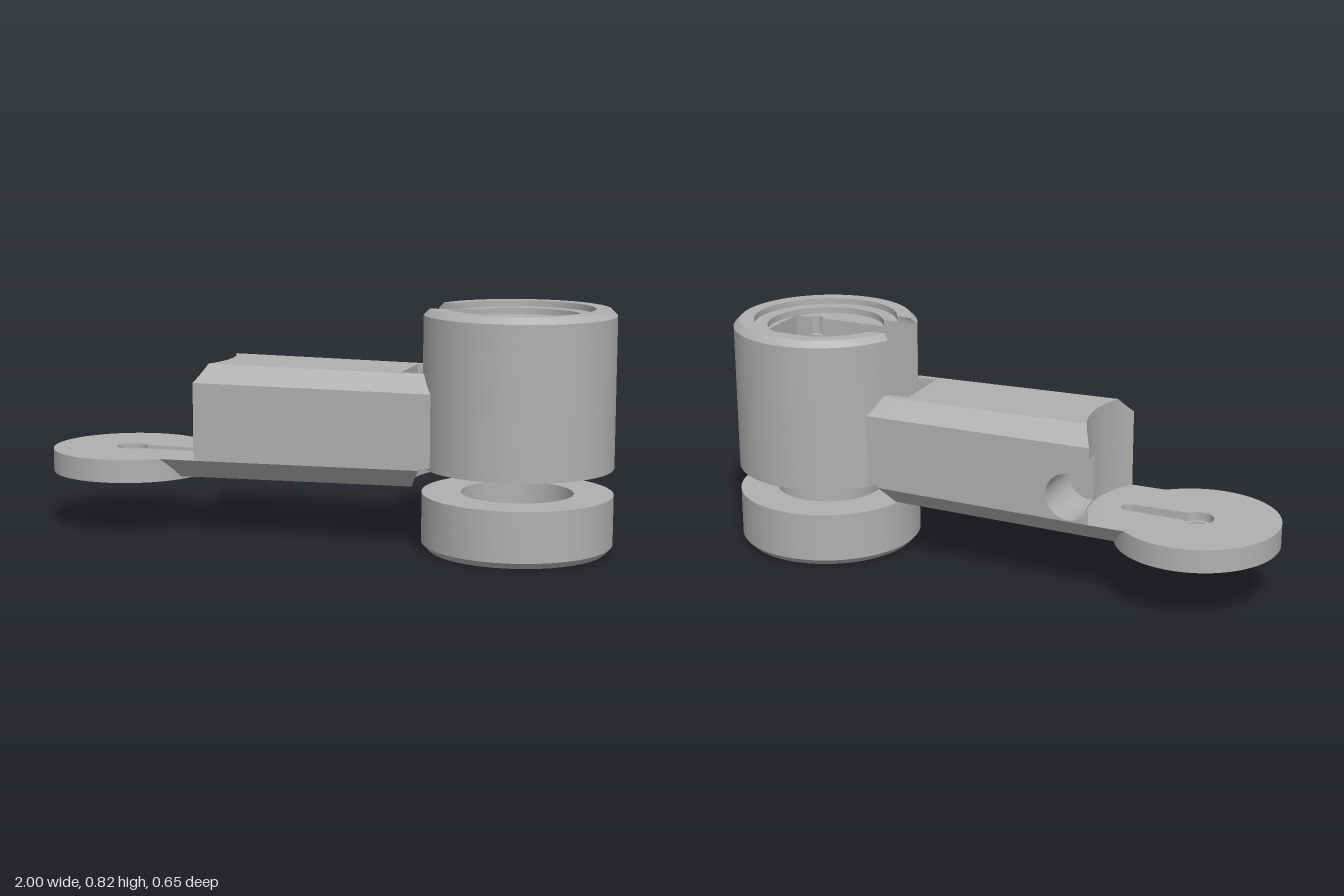
import * as THREE from 'three';
import { toCreasedNormals } from 'three/addons/utils/BufferGeometryUtils.js';

const HUB_X = 0.677, DISK_X = -0.72, HUB_R = 0.323;

export function createModel() {
  const model = new THREE.Group();
  const grey = new THREE.MeshStandardMaterial({ color: 0xb0b0b0 });
  grey.name = 'plain grey';

  function add(name, geometry, parent, x = 0) {
    const mesh = new THREE.Mesh(toCreasedNormals(geometry, 0.45), grey);
    mesh.name = name;
    mesh.position.x = x;
    parent.add(mesh);
  }
  function group(name) {
    const g = new THREE.Group();
    g.name = name;
    model.add(g);
    return g;
  }
  // Flat outline (x, -z) raised from y0 to y1
  function layer(shape, y0, y1) {
    return new THREE.ExtrudeGeometry(shape, { depth: y1 - y0, bevelEnabled: false, curveSegments: 48 })
      .rotateX(-Math.PI / 2).translate(0, y0, 0);
  }
  function circle(x, y, r, Type = THREE.Path) {
    const p = new Type();
    p.absarc(x, y, r, 0, Math.PI * 2, false);
    return p;
  }

  // ---- Horn disk with keyhole recess ----
  const disk = group('hornDisk');
  const base = circle(0, 0, 0.28, THREE.Shape);
  base.holes.push(circle(0, 0, 0.04), circle(0.14, 0, 0.012), circle(0.21, 0, 0.012));
  add('diskBase', layer(base, 0.2, 0.25), disk, DISK_X);
  const top = circle(0, 0, 0.28, THREE.Shape);
  const keyhole = new THREE.Path();
  keyhole.absarc(0, 0, 0.055, 0.65, Math.PI * 2 - 0.65, false);
  keyhole.absarc(0.24, 0, 0.03, -Math.PI / 2, Math.PI / 2, false);
  top.holes.push(keyhole);
  add('diskTop', layer(top, 0.25, 0.28), disk, DISK_X);

  // ---- Arm: lofted across z, ends curved around the disk and the hub ----
  const arm = group('arm');
  const HALF = 0.21, FLAT = 0.145, POCKET = 0.12;
  const bevel = z => Math.max(0, (Math.abs(z) - FLAT) / (HALF - FLAT));

  function armOutline(z, notched, pocketed) {
    const yTop = 0.61 - 0.06 * bevel(z), yBottom = 0.21 + 0.069 * bevel(z);
    const xDisk = DISK_X + Math.sqrt(0.28 ** 2 - z * z) - 0.002;
    const xLeft = DISK_X + Math.sqrt(0.375 ** 2 - z * z);
    const xHub = HUB_X - Math.sqrt(0.363 ** 2 - z * z);
    const pts = [[xDisk, yBottom], [xHub, yBottom], [xHub, 0.287]];
    if (pocketed) pts.push([0.385, 0.287], [0.385, 0.5], [0.3, 0.5], [0.3, yTop]);
    else pts.push([0.44, 0.287], [0.44, yTop]);
    pts.push([xLeft, yTop]);
    if (notched) { // round cable opening in the back side
      const cx = -0.335, cy = 0.367, r = 0.082;
      const phi = Math.acos((xLeft - cx) / r);
      for (let i = 0; i <= 24; i++) {
        const a = phi * (1 - i / 12);
        pts.push([cx + r * Math.cos(a), cy + r * Math.sin(a)]);
      }
    }
    pts.push([xLeft, 0.28], [xDisk, 0.28]);
    return pts;
  }

  function armSlab(z0, z1, notched, pocketed) {
    const steps = 6, pos = [], rings = [];
    for (let s = 0; s <= steps; s++) {
      const z = z0 + (z1 - z0) * s / steps;
      rings.push(armOutline(z, notched, pocketed).map(([x, y]) => {
        const t = Math.max(0, x + 0.4); // taper toward the hub
        return [x, 0.41 + (y - 0.41) * (1 - 0.06 * t), z * (1 - 0.0875 * t)];
      }));
    }
    const tri = (a, b, c) => pos.push(...a, ...b, ...c);
    for (let s = 0; s < steps; s++) {
      const A = rings[s], B = rings[s + 1];
      A.forEach((p, i) => {
        const j = (i + 1) % A.length;
        tri(p, A[j], B[j]);
        tri(p, B[j], B[i]);
      });
    }
    for (const [ring, front] of [[rings[0], false], [rings[steps], true]]) {
      const flat = ring.map(p => new THREE.Vector2(p[0], p[1]));
      for (const [a, b, c] of THREE.ShapeUtils.triangulateShape(flat, [])) {
        if (front) tri(ring[a], ring[b], ring[c]);
        else tri(ring[a], ring[c], ring[b]);
      }
    }
    const g = new THREE.BufferGeometry();
    g.setAttribute('position', new THREE.Float32BufferAttribute(pos, 3));
    g.computeVertexNormals();
    return g;
  }
  const cuts = [-HALF, -FLAT, -POCKET, 0, POCKET, FLAT, HALF];
  for (let i = 0; i < cuts.length - 1; i++) {
    add('armSection', armSlab(cuts[i], cuts[i + 1], i < 3, i === 2 || i === 3), arm);
  }

  // ---- Motor housing: stacked layers with a slot open toward the arm ----
  const housing = group('motorHousing');
  const W = 0.11, slotAngle = Math.asin(W / HUB_R);

  const lower = circle(0, 0, HUB_R, THREE.Shape);
  const body = new THREE.Path([[-0.292, -W], [0.103, -W], [0.103, W], [-0.292, W]]
    .map(p => new THREE.Vector2(...p)));
  lower.holes.push(body, circle(0.14, 0, 0.015));
  add('housingLower', layer(lower, 0.285, 0.5), housing, HUB_X);

  function slotted(screwNotches) {
    const s = new THREE.Shape();
    s.absarc(0, 0, HUB_R, -Math.PI + slotAngle, Math.PI - slotAngle, false);
    if (screwNotches) s.absarc(-0.112, W, 0.025, Math.PI, 0, true);
    s.lineTo(0.183, W);
    s.lineTo(0.183, -W);
    if (screwNotches) s.absarc(0.103, -W, 0.025, 0, Math.PI, true);
    s.closePath();
    return s;
  }
  function openRing(inner) {
    const s = new THREE.Shape(), a = Math.asin(W / inner);
    s.absarc(0, 0, HUB_R, -Math.PI + slotAngle, Math.PI - slotAngle, false);
    s.absarc(0, 0, inner, Math.PI - a, -Math.PI + a, true);
    s.closePath();
    return s;
  }
  add('housingMiddle', layer(slotted(false), 0.5, 0.71), housing, HUB_X);
  add('housingScrewSeat', layer(slotted(true), 0.71, 0.775), housing, HUB_X);
  add('housingInnerStep', layer(openRing(0.205), 0.775, 0.797), housing, HUB_X);

  // Chamfer the rim by pulling its upper outer edge inward
  const rim = layer(openRing(0.252), 0.797, 0.818);
  const p = rim.attributes.position;
  for (let i = 0; i < p.count; i++) {
    const r = Math.hypot(p.getX(i), p.getZ(i));
    if (p.getY(i) > 0.81 && r > 0.31) {
      const k = 0.302 / r;
      p.setXYZ(i, p.getX(i) * k, p.getY(i), p.getZ(i) * k);
    }
  }
  rim.computeVertexNormals();
  add('housingRim', rim, housing, HUB_X);

  // ---- Separate bearing ring below the housing ----
  const profile = [[0.19, 0.05], [0.205, 0.05], [0.205, 0.028], [0.25, 0.028], [0.25, 0],
    [0.302, 0], [HUB_R, 0.022], [HUB_R, 0.193], [0.19, 0.193], [0.19, 0.05]];
  add('bearingRing', new THREE.LatheGeometry(profile.map(q => new THREE.Vector2(...q)), 96), model, HUB_X);

  return model;
}
